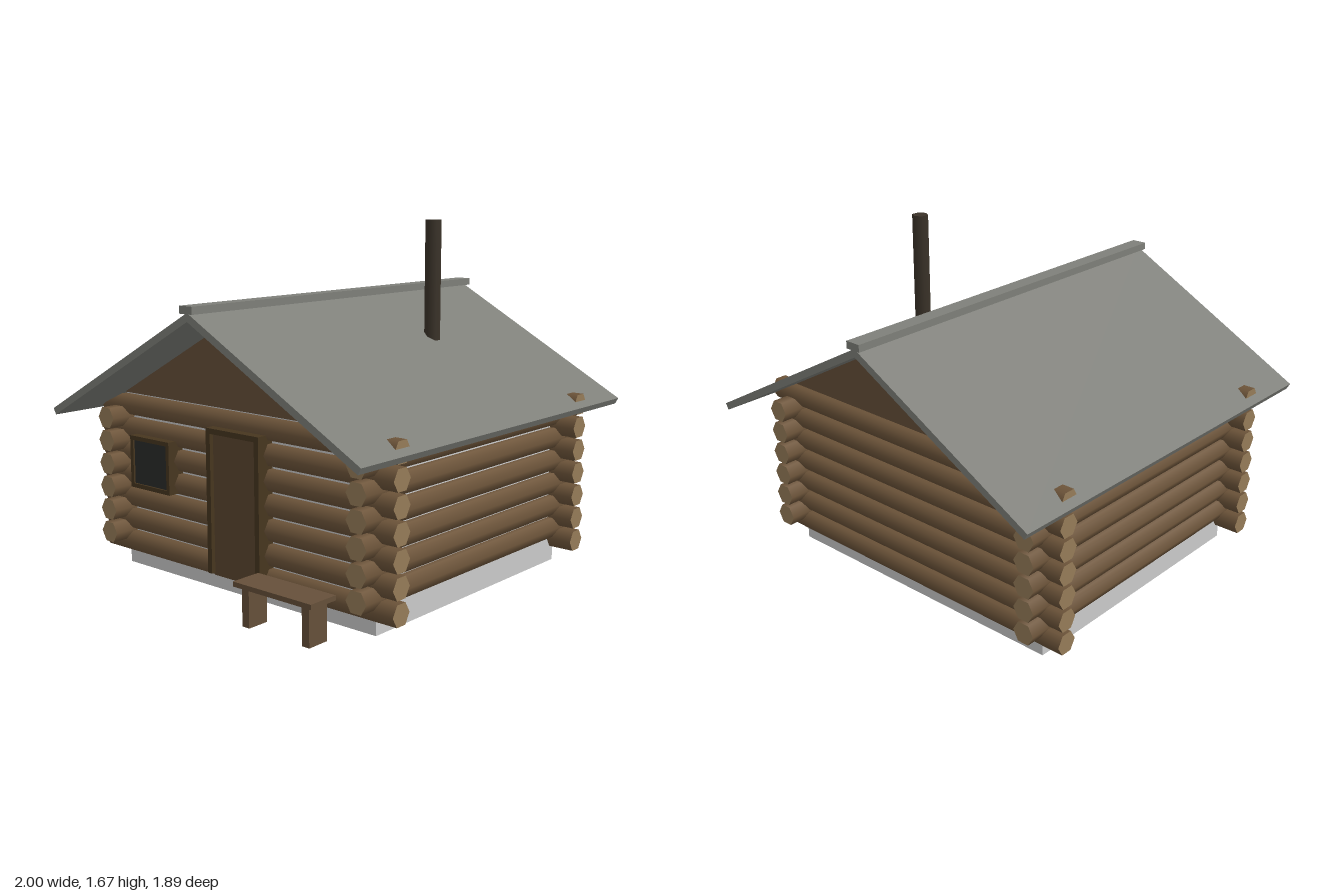
import * as THREE from 'three';

const mat = (name, color, extra = {}) => {
  const m = new THREE.MeshStandardMaterial({ color, ...extra });
  m.name = name;
  return m;
};

export function createModel() {
  const cabin = new THREE.Group();
  cabin.name = 'logCabin';

  const log = mat('logBark', 0x6f563b);
  const logEnd = mat('cutLogEnd', 0x977d59);
  const plank = mat('plankBrown', 0x66503a);
  const plaster = mat('paleChinking', 0xcccccc);
  const slate = mat('roofGrey', 0x7f807a);
  const iron = mat('sootyIron', 0x3b3329);
  const doorWood = mat('doorBrown', 0x5c4630);
  const frameWood = mat('darkFrame', 0x47361f);
  const glass = mat('darkGlass', 0x2b2d2a);

  const add = (parent, name, geometry, material, x = 0, y = 0, z = 0) => {
    const mesh = new THREE.Mesh(geometry, material);
    mesh.name = name;
    mesh.position.set(x, y, z);
    parent.add(mesh);
    return mesh;
  };
  // Box given by its lower and upper limits on each axis
  const box = (parent, name, material, [x0, x1], [y0, y1], [z0, z1]) =>
    add(parent, name, new THREE.BoxGeometry(x1 - x0, y1 - y0, z1 - z0), material,
      (x0 + x1) / 2, (y0 + y1) / 2, (z0 + z1) / 2);
  const group = (name) => {
    const g = new THREE.Group();
    g.name = name;
    cabin.add(g);
    return g;
  };

  // Pale core: foundation below, chinking between the logs
  box(cabin, 'foundationAndChinking', plaster, [-0.69, 0.69], [0, 0.85], [-0.777, 0.777]);

  // Six-sided logs, with the two wall directions half a step apart
  const walls = group('logWalls');
  const logGeometry = (length) =>
    new THREE.CylinderGeometry(0.055, 0.055, length, 6).rotateZ(Math.PI / 2);
  const sideLog = logGeometry(1.815).rotateY(Math.PI / 2);
  const endLog = logGeometry(1.64);
  const step = 0.1123;
  for (const s of [-1, 1]) {
    for (let i = 0; i < 7; i++) {
      add(walls, 'sideLog', sideLog, [log, logEnd, logEnd], s * 0.69, 0.122 + i * step, 0);
    }
    for (let i = 0; i < 6; i++) {
      add(walls, 'frontAndBackLog', endLog, [log, logEnd, logEnd], 0, 0.178 + i * step, s * 0.777);
    }
  }

  // Triangular gables
  const triangle = new THREE.Shape([
    new THREE.Vector2(-0.79, 0.853), new THREE.Vector2(0.79, 0.853), new THREE.Vector2(0, 1.285),
  ]);
  const gable = new THREE.ExtrudeGeometry(triangle, { depth: 0.04, bevelEnabled: false })
    .translate(0, 0, -0.02).rotateY(Math.PI / 2);
  for (const s of [-1, 1]) add(cabin, 'gable', gable, plank, s * 0.69, 0, 0);

  // Two roof slabs and the ridge cap
  const roof = group('roof');
  const ridgeY = 1.307, eaveY = 0.79, eaveZ = 0.947, thick = 0.033;
  const pitch = Math.atan2(ridgeY - eaveY, eaveZ);
  const slope = Math.hypot(ridgeY - eaveY, eaveZ);
  for (const s of [-1, 1]) {
    const slab = new THREE.BoxGeometry(1.986, thick, slope)
      .translate(0, -thick / 2, s * slope / 2).rotateX(s * pitch);
    add(roof, 'roofSlab', slab, slate, 0, ridgeY, 0);
  }
  box(roof, 'ridgeCap', slate, [-1, 1], [1.302, 1.336], [-0.038, 0.038]);

  // Stove pipe
  add(cabin, 'chimney', new THREE.CylinderGeometry(0.038, 0.038, 0.67, 6).rotateY(Math.PI / 2),
    iron, 0.258, 1.335, 0.343);

  // Door with its frame, on the right-hand wall
  const door = group('door');
  box(door, 'doorPanel', doorWood, [-0.757, -0.69], [0.09, 0.75], [-0.11, 0.17]);
  for (const z of [-0.12, 0.18]) {
    box(door, 'doorPost', frameWood, [-0.777, -0.69], [0.1, 0.77], [z - 0.013, z + 0.013]);
  }
  box(door, 'doorLintel', frameWood, [-0.777, -0.69], [0.745, 0.77], [-0.133, 0.193]);

  // Window with its frame, beside the door
  const win = group('window');
  box(win, 'windowPane', glass, [-0.768, -0.69], [0.43, 0.65], [-0.64, -0.4]);
  for (const z of [-0.645, -0.395]) {
    box(win, 'windowPost', frameWood, [-0.777, -0.69], [0.42, 0.66], [z - 0.01, z + 0.01]);
  }
  for (const y of [0.425, 0.655]) {
    box(win, 'windowRail', frameWood, [-0.777, -0.69], [y - 0.01, y + 0.01], [-0.655, -0.385]);
  }

  // Bench on two plank legs
  const bench = group('bench');
  box(bench, 'benchSeat', plank, [-0.993, -0.842], [0.175, 0.197], [0.25, 0.69]);
  for (const z of [0.3, 0.64]) {
    box(bench, 'benchLeg', plank, [-0.97, -0.863], [0, 0.175], [z - 0.02, z + 0.02]);
  }

  return cabin;
}
